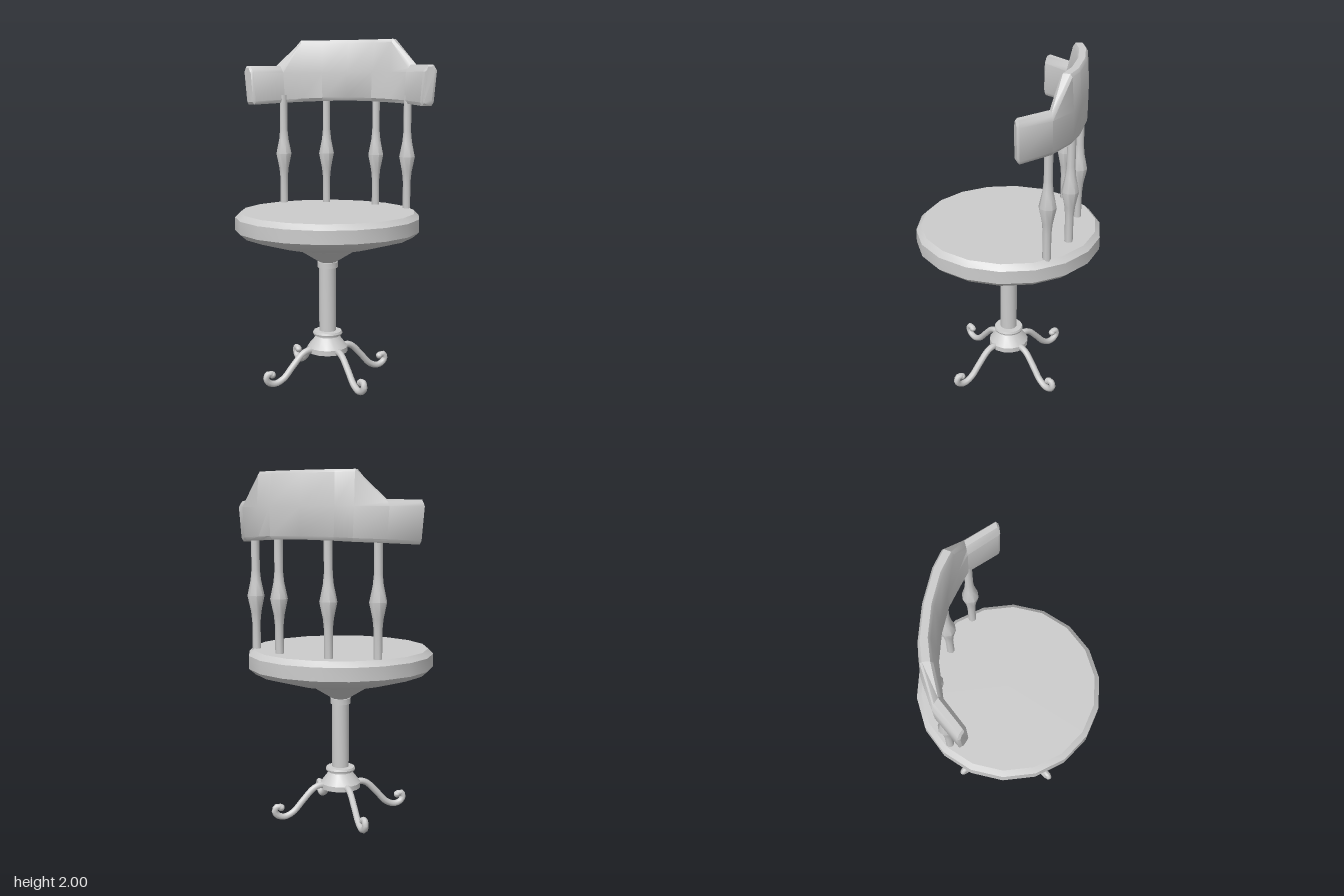
import * as THREE from 'three';
import { toCreasedNormals } from 'three/addons/utils/BufferGeometryUtils.js';

const material = new THREE.MeshStandardMaterial({ color: 0xcccccc });
const V = (x, y, z) => new THREE.Vector3(x, y, z);

function part(name, geometry, crease = 0.6) {
  const mesh = new THREE.Mesh(toCreasedNormals(geometry, crease), material);
  mesh.name = name;
  return mesh;
}

// Turned part from [radius, y] pairs, listed from bottom to top
function turned(name, profile, sides) {
  const points = profile.map(([r, y]) => new THREE.Vector2(r, y));
  return part(name, new THREE.LatheGeometry(points, sides, -Math.PI / 36));
}

// Curved backrest: a bevelled cross-section swept through stations
function backrestGeometry() {
  // inner x, inner z, outer x, outer z, top, bottom
  const half = [
    [0.540, -0.122, 0.590, -0.143, 1.832, 1.627],
    [0.525, -0.128, 0.598, -0.158, 1.845, 1.612],
    [0.388, -0.268, 0.466, -0.303, 1.847, 1.622],
    [0.285, -0.298, 0.305, -0.388, 2.0, 1.628],
    [0.160, -0.333, 0.205, -0.416, 2.0, 1.633],
    [0, -0.345, 0, -0.431, 2.0, 1.637],
  ];
  const mirrored = half.slice(0, -1).reverse().map(([a, b, c, d, t, l]) => [-a, b, -c, d, t, l]);
  const stations = [...half, ...mirrored];
  const positions = [], index = [], n = 10;
  for (const [ix, iz, ox, oz, top, low] of stations) {
    const section = [
      [0.15, low], [0, low + 0.02], [0, 1.805], [0.15, top - 0.02], [0.3, top],
      [0.72, top], [0.85, top - 0.015], [1, 1.81], [1, low + 0.02], [0.85, low],
    ];
    for (const [s, y] of section) {
      const lean = 1 - 0.03 * THREE.MathUtils.clamp((1.82 - y) / 0.2, 0, 1);
      positions.push(THREE.MathUtils.lerp(ix, ox, s) * lean, y, THREE.MathUtils.lerp(iz, oz, s));
    }
  }
  const last = (stations.length - 1) * n;
  for (let i = 0; i < last; i += n) {
    for (let j = 0; j < n; j++) {
      const k = (j + 1) % n;
      index.push(i + j, i + k, i + n + j, i + k, i + n + k, i + n + j);
    }
  }
  for (let j = 1; j < n - 1; j++) {
    index.push(0, j + 1, j, last, last + j, last + j + 1);
  }
  const geometry = new THREE.BufferGeometry();
  geometry.setAttribute('position', new THREE.Float32BufferAttribute(positions, 3));
  geometry.setIndex(index);
  geometry.computeVertexNormals();
  return geometry;
}

// Curved foot with a curled tip, reaching out along +z
function makeLeg() {
  const leg = new THREE.Group();
  const path = [
    [0.08, 0.18], [0.13, 0.186], [0.17, 0.17], [0.235, 0.105], [0.295, 0.042],
    [0.35, 0.02], [0.393, 0.035], [0.407, 0.066], [0.388, 0.087], [0.368, 0.076],
  ];
  const curve = new THREE.CatmullRomCurve3(path.map(([r, y]) => V(0, y, r)));
  leg.add(part('legRod', new THREE.TubeGeometry(curve, 32, 0.019, 8), 0.9));
  const tip = part('legTip', new THREE.SphereGeometry(0.021, 8, 6), 0.9);
  tip.position.set(0, 0.076, 0.368);
  leg.add(tip);
  return leg;
}

export function createModel() {
  const model = new THREE.Group();
  model.name = 'swivelChair';

  // Seat with a recessed underside and the support cone inside it
  model.add(turned('seat', [
    [0.285, 0.86], [0.285, 0.812], [0.305, 0.812], [0.5, 0.868], [0.537, 0.9],
    [0.537, 0.975], [0.507, 1.005], [0, 1.005],
  ], 18));
  model.add(turned('seatSupport', [[0, 0.7], [0.05, 0.705], [0.288, 0.853]], 18));

  // Column, hub and collars
  model.add(turned('column', [
    [0.05, 0.28], [0.05, 0.672], [0.06, 0.672], [0.06, 0.705], [0, 0.705],
  ], 16));
  model.add(turned('hub', [
    [0, 0.165], [0.118, 0.165], [0.118, 0.195], [0.07, 0.258], [0.07, 0.266],
    [0.085, 0.268], [0.088, 0.278], [0.083, 0.29], [0.05, 0.292],
  ], 16));

  // Four legs
  for (let i = 0; i < 4; i++) {
    const leg = makeLeg();
    leg.name = 'leg' + (i + 1);
    leg.rotation.y = THREE.MathUtils.degToRad(50 + 90 * i);
    model.add(leg);
  }

  // Spindles between seat and backrest
  const spindles = [[-0.39, -0.277], [-0.147, -0.383], [0.177, -0.37], [0.398, -0.277]];
  spindles.forEach(([x, z], i) => {
    const spindle = turned('spindle' + (i + 1), [
      [0.024, 0.99], [0.024, 1.16], [0.03, 1.22], [0.049, 1.31], [0.03, 1.4], [0.024, 1.46], [0.024, 1.67],
    ], 8);
    spindle.geometry = toCreasedNormals(spindle.geometry, 0.85);
    spindle.position.set(x, 0, z);
    model.add(spindle);
  });

  model.add(part('backrest', backrestGeometry()));
  return model;
}
